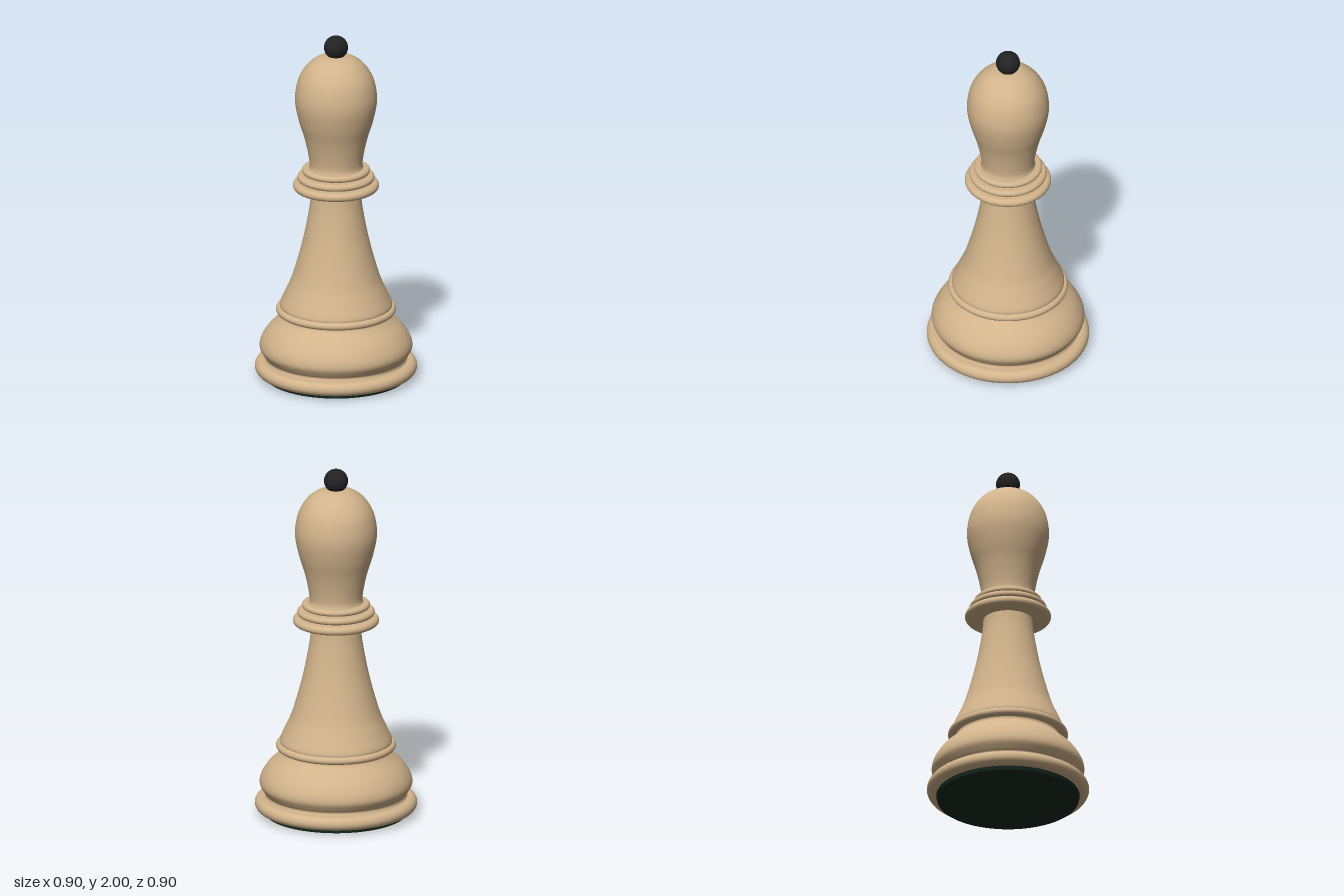
import * as THREE from 'three';

const SEGMENTS = 96;
const wood = new THREE.MeshStandardMaterial({ color: 0xd2b48c });
const black = new THREE.MeshStandardMaterial({ color: 0x222222 });
const felt = new THREE.MeshStandardMaterial({ color: 0x14281e });

// Turned part: smooth curve through [radius, height] points, bottom to top
function turned(name, points, steps = 40) {
  const curve = new THREE.SplineCurve(points.map(([r, y]) => new THREE.Vector2(r, y)));
  const profile = curve.getPoints(steps);
  profile.forEach((p) => { p.x = Math.max(p.x, 0); });
  const mesh = new THREE.Mesh(new THREE.LatheGeometry(profile, SEGMENTS), wood);
  mesh.name = name;
  return mesh;
}

// Disc with a rounded rim, closed at both faces
function roundedDisc(name, radius, bottom, top) {
  const h = (top - bottom) / 2;
  const profile = [new THREE.Vector2(0, bottom), new THREE.Vector2(radius - h, bottom)];
  for (let i = 0; i <= 14; i++) {
    const a = -Math.PI / 2 + (Math.PI * i) / 14;
    profile.push(new THREE.Vector2(radius - h + h * Math.cos(a), bottom + h + h * Math.sin(a)));
  }
  profile.push(new THREE.Vector2(0, top));
  const mesh = new THREE.Mesh(new THREE.LatheGeometry(profile, SEGMENTS), wood);
  mesh.name = name;
  return mesh;
}

export function createModel() {
  const group = new THREE.Group();
  group.name = 'chessBishop';

  // Felt pad under the base
  const pad = new THREE.Mesh(new THREE.CylinderGeometry(0.4, 0.395, 0.024, SEGMENTS), felt);
  pad.name = 'feltPad';
  pad.position.y = 0.012;
  group.add(pad);

  // Base: foot disc, swelling and the ring on top of it
  group.add(roundedDisc('foot', 0.452, 0.022, 0.1));
  group.add(turned('baseSwelling', [
    [0.4, 0.095], [0.392, 0.115], [0.405, 0.135], [0.425, 0.175], [0.415, 0.225],
    [0.375, 0.285], [0.32, 0.335], [0.297, 0.36], [0.297, 0.38],
  ]));
  group.add(roundedDisc('baseRing', 0.334, 0.374, 0.416));

  // Flaring stem
  group.add(turned('stem', [
    [0.306, 0.405], [0.312, 0.43], [0.279, 0.505], [0.24, 0.6], [0.185, 0.8],
    [0.147, 1.0], [0.136, 1.12],
  ]));

  // Three stacked collars, shrinking upward
  [[0.24, 1.098, 1.146], [0.216, 1.152, 1.19], [0.19, 1.195, 1.229]].forEach(([r, bottom, top], i) =>
    group.add(roundedDisc(`collar${i + 1}`, r, bottom, top)));
  const core = new THREE.Mesh(new THREE.CylinderGeometry(0.16, 0.19, 0.09, SEGMENTS), wood);
  core.name = 'collarCore';
  core.position.y = 1.165;
  group.add(core);

  // Bulbous head
  group.add(turned('head', [
    [0.158, 1.215], [0.148, 1.25], [0.157, 1.32], [0.178, 1.41], [0.206, 1.5], [0.227, 1.6],
    [0.225, 1.68], [0.204, 1.76], [0.158, 1.83], [0.1, 1.872], [0.05, 1.885], [0, 1.888],
  ], 60));

  // Black finial ball
  const ball = new THREE.Mesh(new THREE.SphereGeometry(0.067, 48, 32), black);
  ball.name = 'finialBall';
  ball.position.y = 1.933;
  group.add(ball);

  return group;
}
